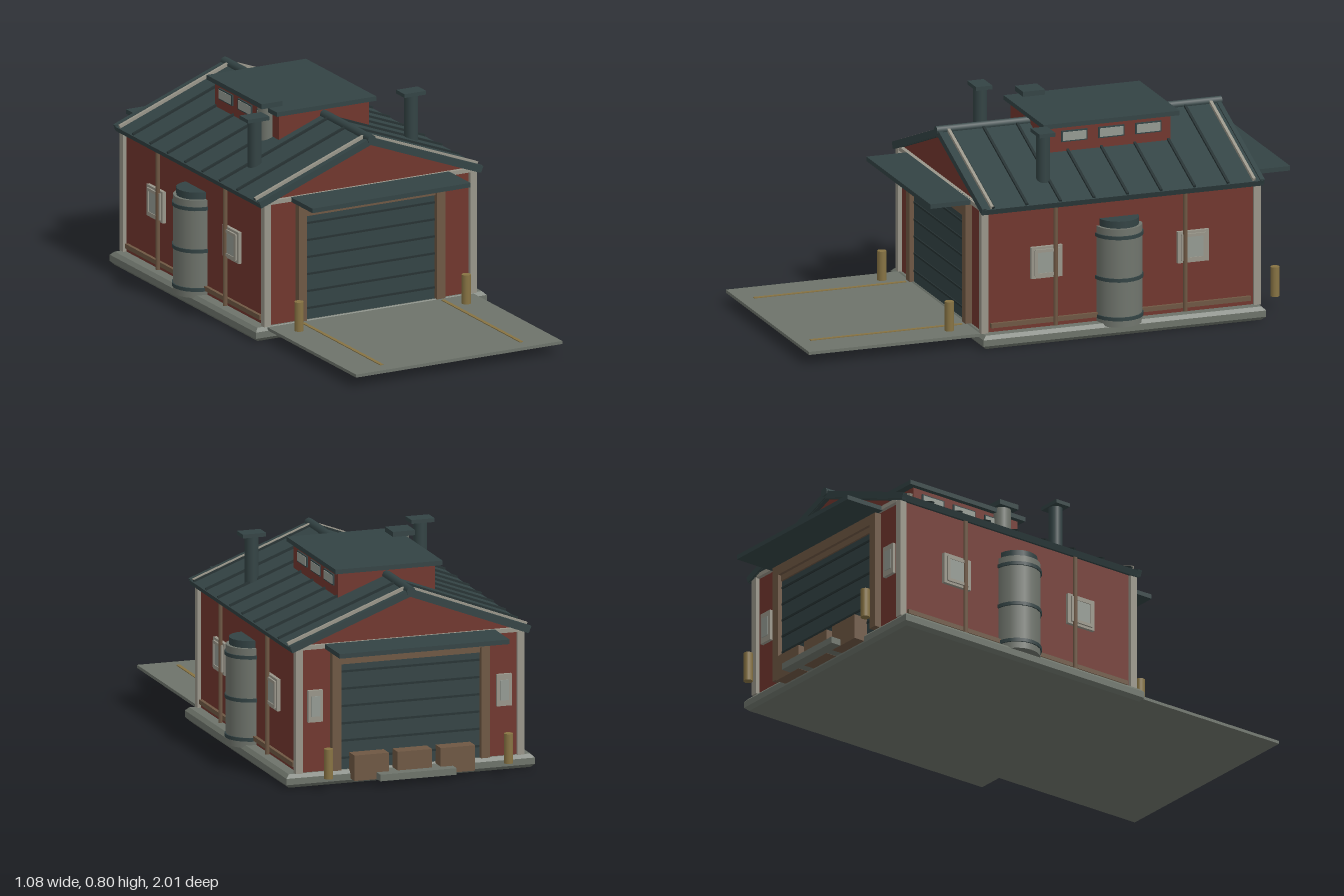
import * as THREE from 'three';

const mat = (name, color) => {
  const m = new THREE.MeshStandardMaterial({ color });
  m.name = name;
  return m;
};

export function createModel() {
  const red = mat('brick red', 0x71362d);
  const slate = mat('slate', 0x334344);
  const dark = mat('dark seam', 0x263233);
  const concrete = mat('concrete', 0x6d736a);
  const steel = mat('tank grey', 0x70756d);
  const cream = mat('cream trim', 0x99968a);
  const pane = mat('window pane', 0x959b93);
  const brown = mat('timber brown', 0x6e5743);
  const gold = mat('ochre', 0x877343);

  const model = new THREE.Group();
  const MID = -0.27; // centre of the building along z

  const add = (parent, name, geo, m, x, y, z) => {
    const mesh = new THREE.Mesh(geo, m);
    mesh.name = name;
    mesh.position.set(x, y, z);
    parent.add(mesh);
    return mesh;
  };
  const box = (parent, name, m, w, h, d, x, y, z) =>
    add(parent, name, new THREE.BoxGeometry(w, h, d), m, x, y, z);
  const tube = (parent, name, m, r, y0, y1, x, z, sides = 16) =>
    add(parent, name, new THREE.CylinderGeometry(r, r, y1 - y0, sides), m, x, (y0 + y1) / 2, z);
  const group = (name, z = 0) => {
    const g = new THREE.Group();
    g.name = name;
    g.position.z = z;
    model.add(g);
    return g;
  };
  // Outline in x,y extruded along z about the building centre
  const extrude = (name, m, pts, depth) => {
    const shape = new THREE.Shape(pts.map(p => new THREE.Vector2(...p)));
    const geo = new THREE.ExtrudeGeometry(shape, { depth, bevelEnabled: false });
    return add(model, name, geo, m, 0, 0, MID - depth / 2);
  };

  // Chamfered foundation slab
  const slabShape = new THREE.Shape([[-0.49, -0.563], [0.49, -0.563], [0.49, 0.563], [-0.49, 0.563]]
    .map(p => new THREE.Vector2(...p)));
  const slabGeo = new THREE.ExtrudeGeometry(slabShape,
    { depth: 0.025, bevelThickness: 0.014, bevelSize: 0.014, bevelSegments: 1 });
  slabGeo.rotateX(-Math.PI / 2);
  add(model, 'foundation', slabGeo, concrete, 0, 0.014, MID);

  // Driveway with painted guide lines
  box(model, 'driveway', concrete, 0.9, 0.012, 0.7, 0, 0.045, 0.65);
  for (const s of [-1, 1]) box(model, 'guideLine', gold, 0.014, 0.004, 0.62, s * 0.305, 0.052, 0.63);

  // Walls with gables, and the pitched roof
  extrude('walls', red, [[-0.45, 0.05], [0.45, 0.05], [0.45, 0.545], [0, 0.717], [-0.45, 0.545]], 1.11);
  extrude('roof', slate, [[0.478, 0.53], [0.488, 0.552], [0, 0.738], [-0.488, 0.552], [-0.478, 0.53], [0, 0.713]], 1.145);
  const ridge = add(model, 'ridgeCap', new THREE.CylinderGeometry(0.018, 0.018, 1.165, 8), slate, 0, 0.737, MID);
  ridge.rotation.x = Math.PI / 2;

  // Strips lying across the roof slopes
  const pitch = Math.atan2(0.186, 0.488);
  const slopeStrip = (name, m, s, z, w, h, lift) => {
    const strip = box(model, name, m, 0.515, h, w, s * 0.244, 0.645 + lift, z);
    strip.rotation.z = -s * pitch;
  };
  for (const s of [-1, 1]) {
    for (let i = -3; i <= 4; i++) slopeStrip('roofSeam', dark, s, MID - 0.01 + (i - 0.5) * 0.137 + 0.06, 0.01, 0.012, 0.002);
    for (const e of [-1, 1]) {
      slopeStrip('rakeTrim', cream, s, MID + e * 0.535, 0.012, 0.012, 0.006);
      slopeStrip('rakeBoard', slate, s, MID + e * 0.568, 0.018, 0.026, -0.008);
    }
  }

  // Both ends: door, frame, canopy, trim and bollards
  for (const turn of [0, Math.PI]) {
    const end = group(turn ? 'backEnd' : 'frontEnd', MID);
    end.rotation.y = turn;
    box(end, 'rollingDoor', slate, 0.57, 0.42, 0.02, 0, 0.265, 0.553);
    for (let i = 0; i < 6; i++) box(end, 'doorSeam', dark, 0.565, 0.008, 0.01, 0, 0.1 + i * 0.068, 0.562);
    box(end, 'lintel', brown, 0.64, 0.04, 0.035, 0, 0.513, 0.565);
    box(end, 'innerLintel', brown, 0.58, 0.027, 0.02, 0, 0.483, 0.56);
    box(end, 'canopy', slate, 0.69, 0.018, 0.17, 0, 0.545, 0.65);
    box(end, 'gableBeam', cream, 0.87, 0.016, 0.02, 0, 0.546, 0.561);
    for (const s of [-1, 1]) {
      box(end, 'doorJamb', brown, 0.036, 0.445, 0.035, s * 0.302, 0.278, 0.565);
      box(end, 'cornerPost', cream, 0.028, 0.49, 0.028, s * 0.45, 0.298, 0.557);
      tube(end, 'bollard', gold, 0.018, 0.05, 0.167, s * 0.365, 0.665, 12);
      if (turn) {
        box(end, 'backWindowFrame', cream, 0.06, 0.125, 0.018, s * 0.383, 0.313, 0.56);
        box(end, 'backWindowPane', pane, 0.036, 0.08, 0.006, s * 0.383, 0.313, 0.569);
      }
    }
  }

  // Long sides: windows, pipes, base rail and storage tanks
  for (const s of [-1, 1]) {
    const side = group(s > 0 ? 'leftSide' : 'rightSide');
    box(side, 'baseRail', brown, 0.016, 0.018, 1.06, s * 0.455, 0.08, MID);
    for (const z of [0.033, -0.565]) {
      box(side, 'windowSurround', cream, 0.016, 0.125, 0.128, s * 0.456, 0.313, z);
      box(side, 'windowPane', pane, 0.006, 0.085, 0.08, s * 0.465, 0.313, z);
      for (const e of [-1, 1]) {
        box(side, 'windowSill', cream, 0.014, 0.012, 0.1, s * 0.464, 0.313 + e * 0.047, z);
        box(side, 'windowStile', cream, 0.014, 0.1, 0.012, s * 0.464, 0.313, z + e * 0.045);
      }
    }
    for (const z of [0, -0.53]) tube(side, 'wallPipe', brown, 0.009, 0.06, 0.55, s * 0.469, z, 8);
    tube(side, 'tank', steel, 0.092, 0.042, 0.432, s * 0.445, MID + 0.005, 20);
    tube(side, 'tankCap', slate, 0.08, 0.432, 0.46, s * 0.445, MID + 0.005, 20);
    for (const y of [0.075, 0.229, 0.398])
      tube(side, 'tankBand', slate, 0.097, y - 0.007, y + 0.007, s * 0.445, MID + 0.005, 20);

    // Capped chimney on each slope
    tube(side, 'chimney', slate, 0.027, 0.58, 0.787, s * 0.342, 0.003);
    box(side, 'chimneyCap', slate, 0.094, 0.015, 0.066, s * 0.342, 0.792, 0.003);

    // Raised skylight windows
    for (const z of [-0.178, -0.329, -0.48]) {
      box(side, 'skylightFrame', slate, 0.01, 0.044, 0.106, s * 0.198, 0.723, z);
      box(side, 'skylightPane', pane, 0.006, 0.034, 0.096, s * 0.202, 0.723, z);
    }
  }

  // Raised roof monitor and its vent
  box(model, 'monitorWalls', red, 0.394, 0.16, 0.505, 0, 0.69, -0.32);
  box(model, 'monitorRoof', slate, 0.434, 0.018, 0.555, 0, 0.772, -0.324);
  tube(model, 'vent', steel, 0.036, 0.62, 0.785, -0.204, -0.15);
  box(model, 'ventCap', slate, 0.09, 0.02, 0.09, -0.206, 0.793, -0.15);

  // Crates and step at the back
  for (const x of [-0.175, 0, 0.175]) box(model, 'crate', brown, 0.14, 0.1, 0.07, x, 0.07, -0.858);
  box(model, 'backStep', concrete, 0.31, 0.026, 0.1, 0, 0.034, -0.885);

  return model;
}
